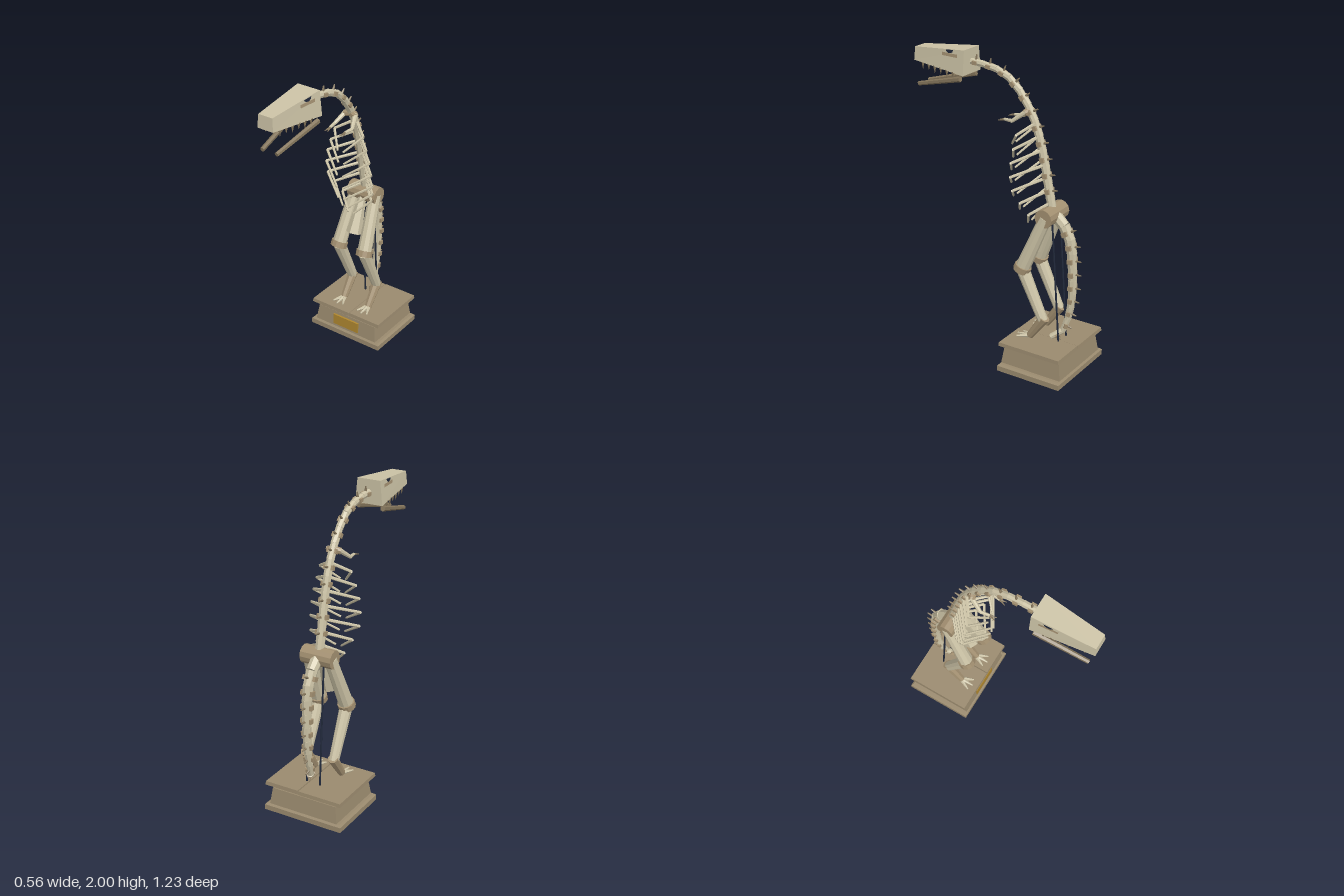
import * as THREE from 'three';

const mat = (name, color) => {
  const m = new THREE.MeshStandardMaterial({ color, flatShading: true });
  m.name = name;
  return m;
};
const V = (x, y, z) => new THREE.Vector3(x, y, z);

export function createModel() {
  const model = new THREE.Group();
  const bone = mat('bone', 0xcbc2a5);
  const agedBone = mat('aged bone', 0xa39071);
  const tooth = mat('dark bone', 0x84755b);
  const wood = mat('stand', 0x9a8a6e);
  const brass = mat('brass', 0xb08830);
  const steel = mat('dark steel', 0x20283a);

  const add = (name, geo, material, pos, parent = model) => {
    const m = new THREE.Mesh(geo, material);
    m.name = name;
    if (pos) m.position.copy(pos);
    parent.add(m);
    return m;
  };
  // Tapered round rod from a to b
  const rod = (name, a, b, r0, r1, material, sides = 8, parent = model) => {
    const d = b.clone().sub(a);
    const m = add(name, new THREE.CylinderGeometry(r1, r0, d.length(), sides), material,
      a.clone().add(b).multiplyScalar(0.5), parent);
    m.quaternion.setFromUnitVectors(V(0, 1, 0), d.normalize());
    return m;
  };
  // Box whose corners are moved by a rule on the signs of x, y and z
  const block = (name, corner, material, pos) => {
    const g = new THREE.BoxGeometry(2, 2, 2);
    const p = g.attributes.position;
    for (let i = 0; i < p.count; i++) p.setXYZ(i, ...corner(p.getX(i), p.getY(i), p.getZ(i)));
    g.computeVertexNormals();
    return add(name, g, material, pos);
  };
  const slab = (name, y0, y1, w0, d0, w1, d1, x = 0) => block(name, (sx, sy, sz) => sy < 0
    ? [sx * w0, y0, sz * d0] : [sx * w1, y1, sz * d1], wood, V(x, 0, -0.383));

  // Stand with a split top plate and a plaque
  slab('standFoot', 0, 0.035, 0.278, 0.228, 0.278, 0.228);
  slab('standFootBevel', 0.035, 0.047, 0.278, 0.228, 0.265, 0.216);
  slab('standBody', 0.047, 0.157, 0.245, 0.217, 0.23, 0.202);
  slab('standTopRight', 0.176, 0.2, 0.152, 0.222, 0.15, 0.219, -0.122);
  slab('standTopLeft', 0.178, 0.203, 0.12, 0.222, 0.118, 0.219, 0.152);
  add('plaque', new THREE.BoxGeometry(0.205, 0.075, 0.014), brass, V(0, 0.1, -0.172));

  // Skull
  block('skull', (sx, sy, sz) => sz < 0
    ? (sy > 0 ? [sx * 0.08, 2, 0.215] : [sx * 0.096, 1.842, 0.215])
    : (sy > 0 ? [sx * 0.05, 1.965, 0.61] : [sx * 0.057, 1.88, 0.615]), bone);

  // Thin plate lying on the skull's side wall, from (z, y) corners
  const skullX = (z, y) => {
    const t = (z - 0.215) / 0.397;
    const top = 2 - 0.035 * t, low = 1.842 + 0.038 * t;
    const v = (y - low) / (top - low);
    return (0.096 - 0.039 * t) * (1 - v) + (0.08 - 0.03 * t) * v;
  };
  const sidePlate = (name, corners, s, lift, material) => {
    const shape = new THREE.Shape(corners.map(([z, y]) => new THREE.Vector2(z, y)));
    const g = new THREE.ShapeGeometry(shape);
    const p = g.attributes.position;
    for (let i = 0; i < p.count; i++) {
      const z = p.getX(i), y = p.getY(i);
      p.setXYZ(i, s * (skullX(z, y) + lift), y, z);
    }
    if (s > 0) g.setIndex(Array.from(g.index.array).reverse());
    g.computeVertexNormals();
    add(name, g, material);
  };

  for (const s of [1, -1]) {
    // Eye, brow bar, teeth and lower jaw
    sidePlate('cheekBar', [[0.265, 1.947], [0.385, 1.947], [0.385, 1.967], [0.265, 1.967]], s, 0.003, agedBone);
    sidePlate('eye', [[0.295, 1.992], [0.3, 1.978], [0.315, 1.969], [0.335, 1.969], [0.35, 1.977], [0.355, 1.987]], s, 0.006, steel);
    for (let i = 0; i < 6; i++) {
      const z = 0.3 + i * 0.05, y = 1.855 + i * 0.005, x = s * (0.08 - i * 0.0055);
      rod('tooth', V(x, y, z), V(x, y - 0.042 - (i % 2) * 0.008, z), 0.011, 0.001, tooth, 6);
    }
    rod('lowerJaw', V(s * 0.086, 1.818, 0.24), V(s * 0.052, 1.73, 0.585), 0.018, 0.014, tooth, 6);
  }

  // Vertebrae along a curve, each with a back spine and side knobs
  const column = (name, pts, n, radius, back, skip) => {
    const group = new THREE.Group();
    group.name = name;
    model.add(group);
    const curve = new THREE.CatmullRomCurve3(pts.map(p => V(...p)));
    for (let i = 0; i < n; i++) {
      const a = curve.getPointAt(i / n), b = curve.getPointAt((i + 1) / n);
      const r = radius(i / n);
      const d = b.clone().sub(a).normalize();
      rod('vertebra', a.clone().addScaledVector(d, -0.004), b, r, r * 0.9, bone, 8, group);
      if (i < skip) continue;
      const mid = a.clone().lerp(b, 0.5);
      const out = V(0, d.z, -d.y).multiplyScalar(back).normalize();
      rod('backSpine', mid.clone().addScaledVector(out, r * 0.7),
        mid.clone().addScaledVector(out, r + 0.35 * r + 0.02), 0.009, 0.004, tooth, 6, group);
      const knob = add('sideKnob', new THREE.BoxGeometry(r * 2 + 0.014, 0.03, r), agedBone, mid, group);
      knob.quaternion.setFromUnitVectors(V(0, 1, 0), d);
    }
  };
  column('spine', [[0, 1.04, -0.385], [0, 1.2, -0.353], [0, 1.4, -0.312], [0, 1.58, -0.26], [0, 1.7, -0.2],
    [0, 1.8, -0.125], [0, 1.87, -0.04], [0, 1.905, 0.07], [0, 1.918, 0.23]], 12, t => 0.031 - 0.009 * t, 1, 1);
  column('tail', [[0, 1.04, -0.4], [0, 0.97, -0.475], [0, 0.88, -0.515], [0, 0.72, -0.532], [0, 0.5, -0.533],
    [0.002, 0.36, -0.51], [0.015, 0.26, -0.475], [0.05, 0.22, -0.415]], 10, t => 0.04 - 0.022 * t, -1, 1);

  // Ribs: [start y, start z, bend x, bend y, bend z, end y, end z]
  const ribs = [
    [1.6, -0.25, 0.11, 1.545, -0.185, 1.45, -0.097], [1.52, -0.275, 0.138, 1.46, -0.18, 1.365, -0.105],
    [1.44, -0.3, 0.162, 1.38, -0.18, 1.28, -0.092], [1.35, -0.32, 0.174, 1.295, -0.185, 1.195, -0.092],
    [1.27, -0.335, 0.174, 1.21, -0.2, 1.11, -0.108], [1.19, -0.35, 0.15, 1.13, -0.24, 1.03, -0.155],
    [1.11, -0.365, 0.115, 1.05, -0.28, 0.955, -0.217]];

  for (const s of [1, -1]) {
    for (const [y0, z0, x1, y1, z1, y2, z2] of ribs) {
      const bend = V(s * x1, y1, z1);
      rod('rib', V(s * 0.015, y0, z0), bend, 0.011, 0.009, bone, 6);
      rod('ribEnd', bend, V(s * 0.02, y2, z2), 0.009, 0.007, bone, 6);
    }

    // Arm with two claws
    const elbow = V(s * 0.067, 1.612, -0.125), wrist = V(s * 0.057, 1.61, -0.065);
    rod('shoulder', V(0, 1.675, -0.21), V(s * 0.045, 1.665, -0.195), 0.024, 0.02, agedBone);
    rod('upperArm', V(s * 0.035, 1.675, -0.205), elbow, 0.017, 0.012, bone);
    rod('forearm', elbow, wrist, 0.012, 0.009, bone);
    for (const c of [-1, 1]) rod('claw', wrist, V(s * 0.057 + c * 0.012, 1.6, -0.025), 0.008, 0.002, tooth, 6);

    // Leg
    const hip = V(s * 0.075, 1.04, -0.38), knee = V(s * 0.102, 0.675, -0.23);
    const ankle = V(s * 0.1, 0.35, -0.385), foot = V(s * 0.1, 0.215, -0.29);
    rod('thigh', hip, knee, 0.04, 0.048, bone, 10);
    const dir = knee.clone().sub(hip).normalize();
    rod('knee', knee.clone().addScaledVector(dir, -0.022), knee.clone().addScaledVector(dir, 0.018), 0.056, 0.056, agedBone, 12);
    rod('shin', knee, ankle, 0.042, 0.033, bone, 10);
    rod('ankle', ankle.clone().add(V(0, 0.02, -0.012)), foot, 0.035, 0.024, agedBone);
    for (const c of [-1, 0, 1]) {
      rod('toe', V(s * 0.1, 0.217, -0.3), V(s * 0.1 + c * 0.04, 0.208, -0.2 - Math.abs(c) * 0.015), 0.016, 0.005, bone, 6);
    }

    // Support rod
    rod('supportRod', V(s * 0.048, 0.2, -0.47), V(s * 0.048, 1.0, -0.41), 0.006, 0.006, steel);
  }

  // Pelvis and the bone hanging forward from it
  rod('pelvis', V(-0.108, 1.04, -0.378), V(0.108, 1.04, -0.378), 0.06, 0.06, agedBone, 12);
  rod('pubis', V(0, 1.02, -0.345), V(0, 0.785, -0.255), 0.026, 0.053, bone, 6);

  return model;
}
